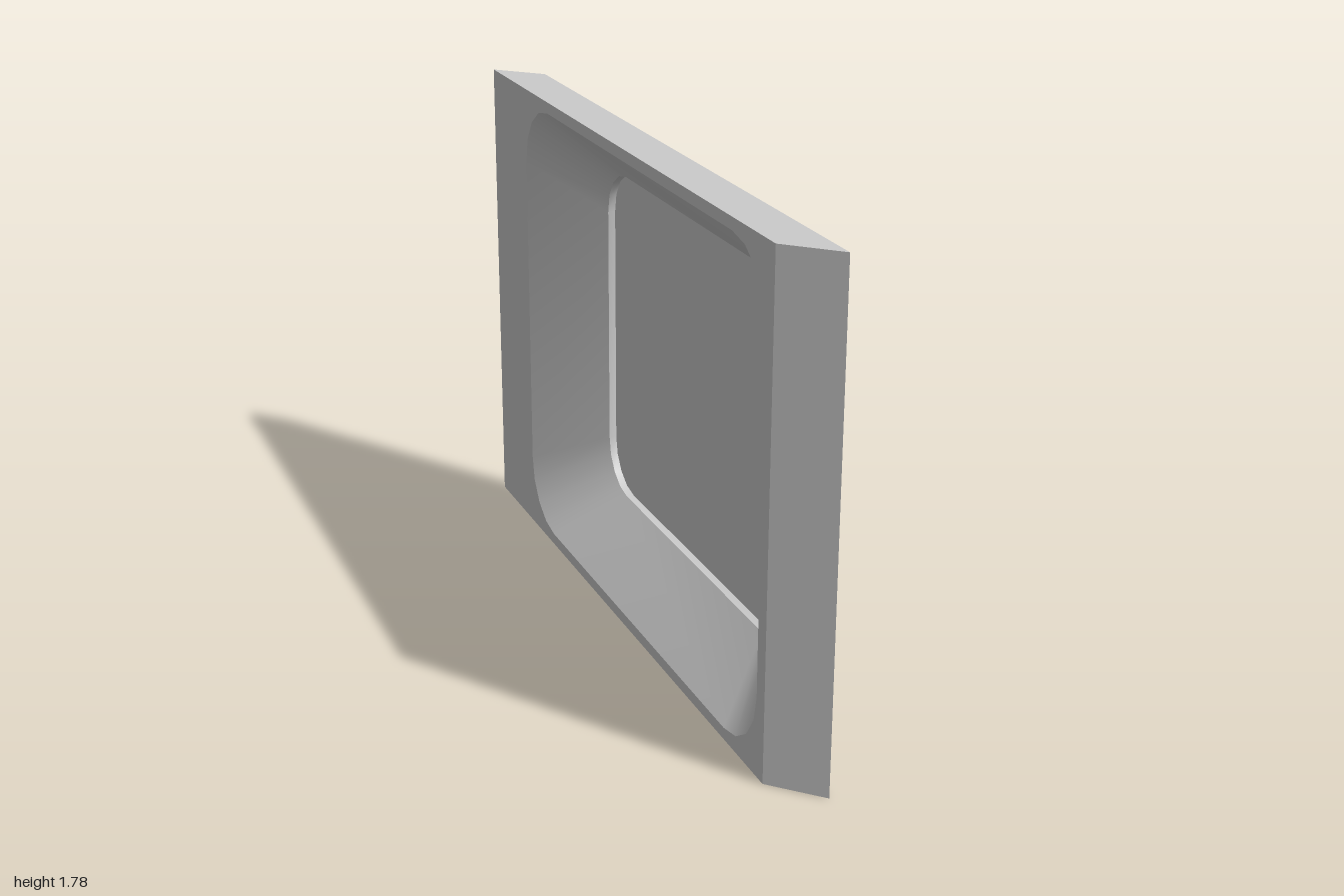
import * as THREE from 'three';
import { toCreasedNormals } from 'three/addons/utils/BufferGeometryUtils.js';

const mat = new THREE.MeshStandardMaterial({ color: 0xcccccc });

// Counter-clockwise rounded outline in the wall plane
function outline(x0, x1, y0, y1, r = 0, seg = 4) {
  if (!r) return [[x0, y0], [x1, y0], [x1, y1], [x0, y1]].map(p => new THREE.Vector2(...p));
  const pts = [];
  const centres = [[x0 + r, y0 + r], [x1 - r, y0 + r], [x1 - r, y1 - r], [x0 + r, y1 - r]];
  centres.forEach(([cx, cy], k) => {
    for (let i = 0; i <= seg; i++) {
      const a = Math.PI + (k + i / seg) * Math.PI / 2;
      pts.push(new THREE.Vector2(cx + r * Math.cos(a), cy + r * Math.sin(a)));
    }
  });
  return pts;
}

// Wall strip between outlines; faces inward when going away from the front
function loft(name, rings) {
  const n = rings[0].pts.length, pos = [], idx = [];
  rings.forEach(({ pts, depth }) => pts.forEach(p => pos.push(p.x, p.y, -depth)));
  for (let j = 0; j < rings.length - 1; j++) {
    for (let i = 0; i < n; i++) {
      const a = j * n + i, b = j * n + (i + 1) % n;
      idx.push(a, b, a + n, b, b + n, a + n);
    }
  }
  const g = new THREE.BufferGeometry();
  g.setAttribute('position', new THREE.Float32BufferAttribute(pos, 3));
  g.setIndex(idx);
  const mesh = new THREE.Mesh(toCreasedNormals(g, 0.55), mat);
  mesh.name = name;
  return mesh;
}

// Flat face at a depth, with an optional opening
function face(name, pts, depth, towardBack = false, hole = null) {
  const shape = new THREE.Shape(pts);
  if (hole) shape.holes.push(new THREE.Path(hole));
  const g = new THREE.ShapeGeometry(shape);
  if (towardBack) {
    g.index.array.reverse();
    g.computeVertexNormals();
  }
  g.translate(0, 0, -depth);
  const mesh = new THREE.Mesh(g, mat);
  mesh.name = name;
  return mesh;
}

export function createModel() {
  const half = 0.078, H = 1.78;
  const front = outline(-1.336, 1.18, 0, H);
  const back = outline(-1.18, 1.336, 0, H);
  const wide = outline(-0.969, 1.124, 0.042, 1.738, 0.24);
  const narrow = outline(-0.7, 0.87, 0.253, 1.527, 0.18);

  // Wall slab with slanted ends
  const wall = new THREE.Group();
  wall.name = 'wall';
  wall.add(
    face('wallFront', front, -half, false, wide),
    face('wallBack', back, half, true, wide),
    loft('wallEdges', [{ pts: back, depth: half }, { pts: front, depth: -half }]),
  );

  // Tapered window frame: inner funnel, outer hood and rear lip
  const frame = new THREE.Group();
  frame.name = 'windowFrame';
  frame.add(
    loft('innerFunnel', [
      { pts: wide, depth: -half }, { pts: narrow, depth: 0.149 }, { pts: narrow, depth: 0.177 },
    ]),
    loft('outerHood', [{ pts: narrow, depth: 0.276 }, { pts: wide, depth: half }]),
    loft('rearLip', [{ pts: narrow, depth: 0.25 }, { pts: narrow, depth: 0.276 }]),
  );

  // Window pane
  const pane = new THREE.Group();
  pane.name = 'windowPane';
  pane.add(face('paneFront', narrow, 0.177), face('paneBack', narrow, 0.25, true));

  // Turn the wall diagonally
  const model = new THREE.Group();
  model.name = 'diagonalWindowWall';
  const body = new THREE.Group();
  body.name = 'body';
  body.add(wall, frame, pane);
  body.rotation.y = -Math.PI / 4;
  model.add(body);
  return model;
}
